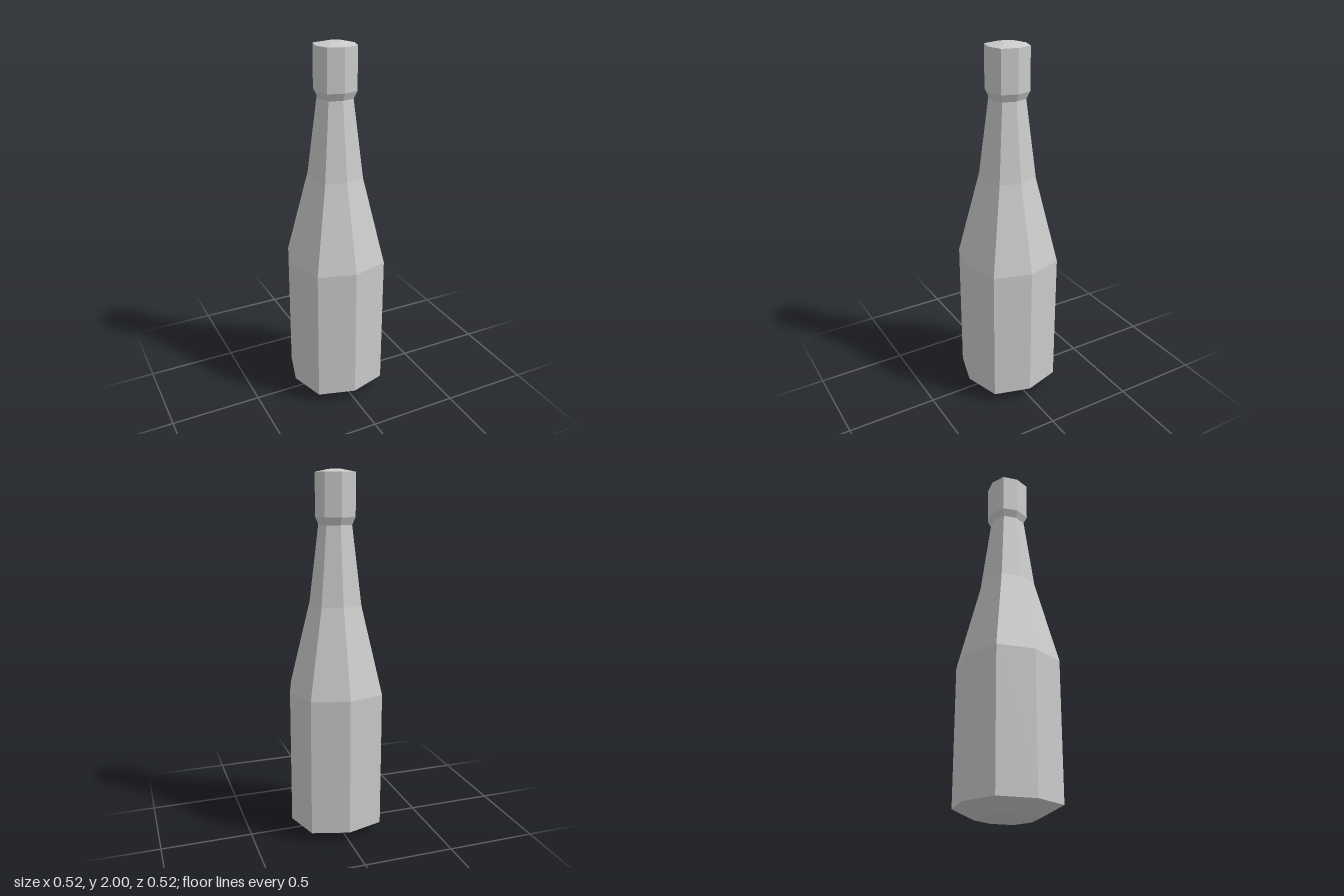
import * as THREE from 'three';

const SIDES = 8;

// Faceted lathe whose diagonal corners are pushed out slightly, towards a square
function facetedLathe(profile, material, name) {
  const points = profile.map(([r, y]) => new THREE.Vector2(r, y));
  const geometry = new THREE.LatheGeometry(points, SIDES);
  const pos = geometry.attributes.position;
  for (let i = 0; i < pos.count; i++) {
    const x = pos.getX(i), z = pos.getZ(i);
    const diagonal = Math.min(Math.abs(x), Math.abs(z)) > 1e-4;
    const s = diagonal ? 1.093 : 1;
    pos.setX(i, x * s);
    pos.setZ(i, z * s);
  }
  geometry.computeVertexNormals();
  const mesh = new THREE.Mesh(geometry, material);
  mesh.name = name;
  return mesh;
}

export function createModel() {
  const group = new THREE.Group();
  group.name = 'bottle';
  const grey = new THREE.MeshStandardMaterial({ color: 0xcccccc, flatShading: true });
  grey.name = 'light grey';

  // Base bevel, straight body, shoulder and neck
  group.add(facetedLathe([
    [0, 0], [0.15, 0], [0.26, 0.06], [0.26, 0.82], [0.143, 1.3], [0.091, 1.72],
  ], grey, 'body'));

  // Wider cap with a shallow domed top
  group.add(facetedLathe([
    [0.091, 1.72], [0.109, 1.76], [0.109, 1.985], [0.036, 2], [0, 2],
  ], grey, 'cap'));

  return group;
}
